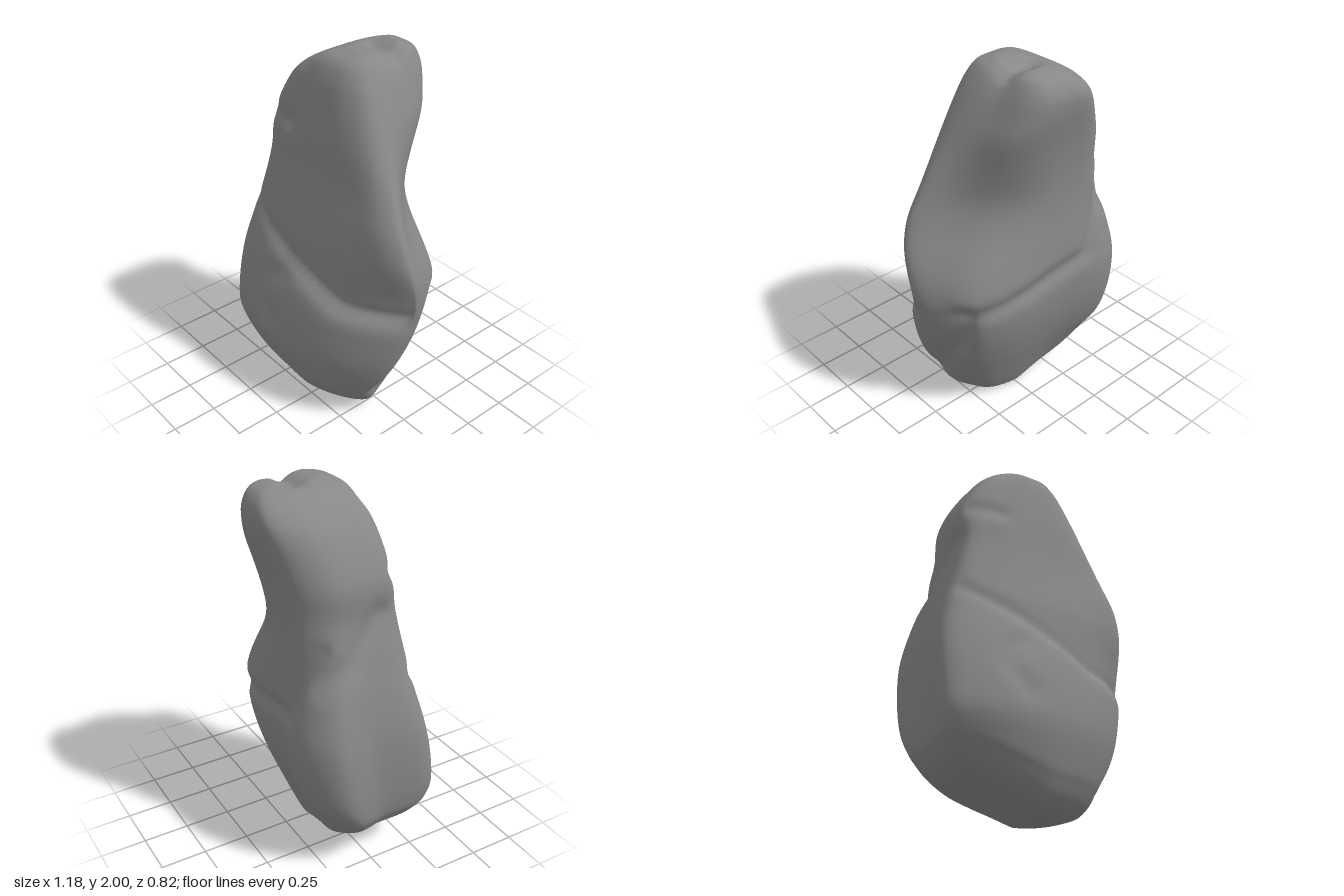
import * as THREE from 'three';

const V = (x, y, z) => new THREE.Vector3(x, y, z);
const smooth = THREE.MathUtils.smoothstep, lerp = THREE.MathUtils.lerp;
const AROUND = 130, UP = 170;

// Extents of the boulder at each height: y, left, right, back, front
const levels = [
  [0, -0.34, 0.2, -0.1, 0.17], [0.02, -0.43, 0.27, -0.14, 0.24],
  [0.06, -0.5, 0.315, -0.17, 0.295], [0.12, -0.54, 0.36, -0.2, 0.335],
  [0.2, -0.565, 0.405, -0.235, 0.37], [0.4, -0.583, 0.485, -0.315, 0.41],
  [0.6, -0.59, 0.545, -0.37, 0.395], [0.8, -0.58, 0.58, -0.385, 0.35],
  [1, -0.54, 0.585, -0.36, 0.29], [1.2, -0.485, 0.54, -0.335, 0.245],
  [1.4, -0.44, 0.45, -0.335, 0.21], [1.6, -0.43, 0.355, -0.36, 0.185],
  [1.8, -0.335, 0.265, -0.405, 0.15], [1.9, -0.24, 0.215, -0.405, 0.12],
  [1.97, -0.12, 0.165, -0.36, 0.07], [2, -0.03, 0.11, -0.27, -0.02],
];

// Footprints (x, z) from the front left corner along the front, right, back and left sides
const lowerPlan = [[-0.56, 0.29], [-0.42, 0.37], [-0.15, 0.4], [0.3, 0.31], [0.53, 0.15], [0.58, 0.05], [0.51, -0.11],
  [0.42, -0.25], [0.26, -0.325], [-0.1, -0.36], [-0.42, -0.385], [-0.57, -0.25], [-0.55, -0.03]];
const waistPlan = [[-0.44, 0.18], [-0.3, 0.225], [-0.05, 0.235], [0.25, 0.205], [0.45, 0.16], [0.51, 0.09], [0.38, -0.05],
  [0.23, -0.205], [0.09, -0.29], [-0.12, -0.335], [-0.35, -0.325], [-0.46, -0.22], [-0.475, -0.02]];
const upperPlan = [[-0.31, 0.1], [-0.22, 0.145], [-0.02, 0.15], [0.14, 0.135], [0.24, 0.08], [0.265, 0], [0.235, -0.18],
  [0.19, -0.33], [0.11, -0.39], [-0.05, -0.405], [-0.22, -0.385], [-0.32, -0.25], [-0.335, -0.05]];

// Smooth outline of a footprint, scaled to the unit square
function samplePlan(plan) {
  const curve = new THREE.CatmullRomCurve3(plan.map(([x, z]) => V(x, 0, z)), true, 'centripetal');
  const pts = Array.from({ length: AROUND }, (_, j) => curve.getPoint(j / AROUND));
  const box = new THREE.Box3().setFromPoints(pts), size = box.getSize(V(0, 0, 0));
  return pts.map(p => [(p.x - box.min.x) / size.x, (p.z - box.min.z) / size.z]);
}

// The underside climbs to the left and a little to the right and front
const tilt = (x, y, z) =>
  y + (0.31 * Math.max(0, -x) + 0.06 * Math.max(0, x) + 0.08 * Math.max(0, z)) * (1 - smooth(y, 0, 0.5));

// Height of the sloping break across the front
const breakLine = x => 0.735 + 0.47 * Math.max(0, 0.25 - x);

const FRONT = V(0, 0, 1), BACK = V(0, 0, -1), RIGHT = V(1, 0, 0), LEFT = V(-1, 0, 0), TOP = V(0, 1, 0);

// Creases: facing direction, radius, depth, path points
const creases = [
  [FRONT, 0.045, 0.016, [V(-0.45, 1.07, 0), V(0.25, 0.745, 0), V(0.6, 0.745, 0)]],
  [FRONT, 0.06, 0.014, [V(-0.12, 0.82, 0), V(-0.24, 0.75, 0), V(-0.27, 0.64, 0), V(-0.18, 0.53, 0)]],
  [FRONT, 0.05, 0.02, [V(-0.42, 1.6, 0), V(-0.22, 1.6, 0)]],
  [FRONT, 0.07, 0.012, [V(-0.22, 1.65, 0), V(-0.14, 1.88, 0)]],
  [BACK, 0.05, 0.025, [V(0.45, 0.75, 0), V(0.1, 0.82, 0), V(-0.27, 0.9, 0), V(-0.34, 1.1, 0), V(-0.42, 1.28, 0)]],
  [LEFT, 0.06, 0.02, [V(0, 1.12, -0.3), V(0, 1.22, -0.12), V(0, 1.42, 0.05)]],
  [RIGHT, 0.05, 0.016, [V(0, 0.73, 0.3), V(0, 0.73, 0.08)]],
  [RIGHT, 0.06, 0.04, [V(0, 0.2, 0.09), V(0, 0.42, -0.04), V(0, 0.53, -0.13), V(0, 0.74, -0.21)]],
  [TOP, 0.06, 0.04, [V(0, 0, -0.18), V(0.2, 0, -0.18)]],
];

function carve(p, n) {
  const shift = V(0, 0, 0), near = V(0, 0, 0);
  for (const [face, radius, depth, path] of creases) {
    const facing = smooth(n.dot(face), 0.2, 0.75);
    if (!facing || (face === TOP && p.y < 1.5)) continue;
    const flat = p.clone().addScaledVector(face, -p.dot(face));
    let d = Infinity;
    for (let k = 1; k < path.length; k++) {
      new THREE.Line3(path[k - 1], path[k]).closestPointToPoint(flat, true, near);
      d = Math.min(d, near.distanceTo(flat));
    }
    shift.addScaledVector(face, -depth * facing * Math.exp(-((d / radius) ** 2)));
  }
  // The face above the front break sits back from the lower slab
  const above = smooth(p.y - breakLine(p.x), -0.03, 0.05);
  shift.z -= 0.05 * above * (1 - smooth(p.y, 0.75, 1.1)) * smooth(n.z, -0.1, 0.9);
  p.add(shift);
}

function boulderGeometry() {
  const widths = new THREE.CatmullRomCurve3(levels.map(l => V(l[1], l[0], l[2])), false, 'catmullrom', 0.5);
  const depths = new THREE.CatmullRomCurve3(levels.map(l => V(l[3], l[0], l[4])), false, 'catmullrom', 0.5);
  const [lower, waist, upper] = [lowerPlan, waistPlan, upperPlan].map(samplePlan);
  const pos = [], index = [];
  const put = (x, y, z) => pos.push(x, tilt(x, y, z), z);

  // Stacked rings, blending from the lower footprint through the waist to the upper
  for (let i = 0; i <= UP; i++) {
    const w = widths.getPoint(i / UP), d = depths.getPoint(i / UP);
    const toWaist = smooth(w.y, 0.76, 1.28), toUpper = smooth(w.y, 1.28, 1.75);
    for (let j = 0; j < AROUND; j++) {
      const [u, v] = [0, 1].map(k => lerp(lerp(lower[j][k], waist[j][k], toWaist), upper[j][k], toUpper));
      put(lerp(w.x, w.z, u), w.y, lerp(d.x, d.z, v));
      if (i < UP) {
        const a = i * AROUND + j, b = i * AROUND + (j + 1) % AROUND;
        index.push(a, b, b + AROUND, a, b + AROUND, a + AROUND);
      }
    }
  }

  // Closed ends, with inner rings so they follow the tilt and the carving
  const cap = (start, cx, y, cz, flip) => {
    let ring = start;
    const tri = (a, b, c) => flip ? index.push(a, c, b) : index.push(a, b, c);
    for (let s = 1; s <= 8; s++) {
      const next = pos.length / 3;
      for (let j = 0; j < AROUND; j++) {
        const o = (start + j) * 3, k = s / 8.5;
        put(lerp(pos[o], cx, k), y, lerp(pos[o + 2], cz, k));
        const j2 = (j + 1) % AROUND;
        tri(ring + j, ring + j2, next + j2);
        tri(ring + j, next + j2, next + j);
      }
      ring = next;
    }
    const centre = pos.length / 3;
    put(cx, y, cz);
    for (let j = 0; j < AROUND; j++) tri(ring + j, ring + (j + 1) % AROUND, centre);
  };
  cap(0, 0, 0, 0, true);
  cap(UP * AROUND, 0.04, 2, -0.145, false);

  const geo = new THREE.BufferGeometry();
  geo.setAttribute('position', new THREE.Float32BufferAttribute(pos, 3));
  geo.setIndex(index);
  geo.computeVertexNormals();

  // Cut the creases and the front break
  const P = geo.attributes.position, N = geo.attributes.normal;
  const p = V(0, 0, 0), n = V(0, 0, 0);
  for (let i = 0; i < P.count; i++) {
    carve(p.fromBufferAttribute(P, i), n.fromBufferAttribute(N, i));
    P.setXYZ(i, p.x, p.y, p.z);
  }
  geo.computeVertexNormals();
  return geo;
}

export function createModel() {
  const group = new THREE.Group();
  group.name = 'rock';
  const boulder = new THREE.Mesh(boulderGeometry(), new THREE.MeshStandardMaterial({ color: 0x888888 }));
  boulder.name = 'boulder';
  group.add(boulder);
  return group;
}
